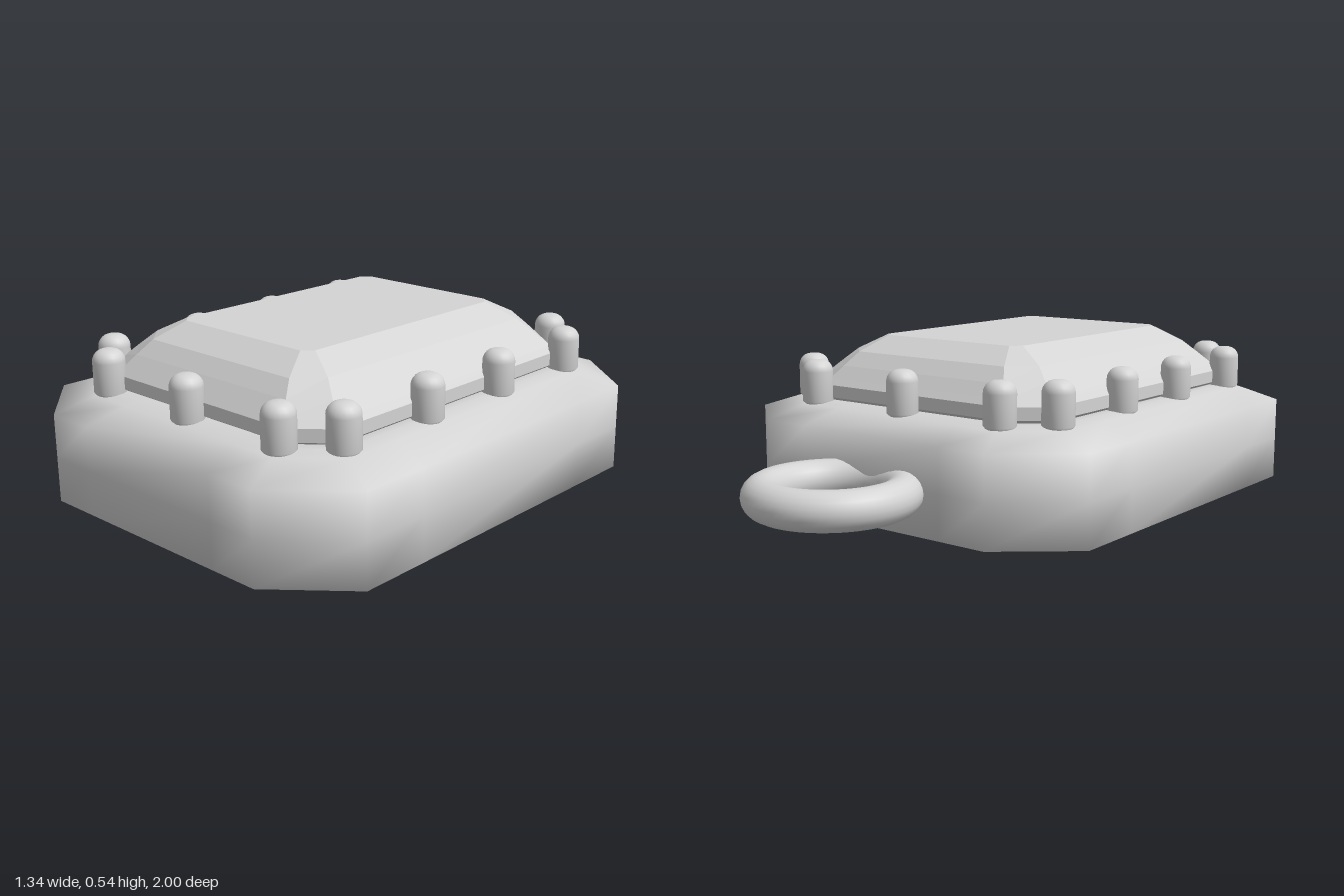
import * as THREE from 'three';

const CZ = 0.21; // centre of the stone and its setting along z

// Octagon with half sizes hx, hz and cut corners cx, cz, listed from +x towards +z.
// With extra = true, each straight side gets two more points near its corners.
function octagon(hx, hz, cx, cz, extra) {
  const ax = hx - cx, az = hz - cz;
  const k = 0.62;
  const corners = [
    [hx, -az], [hx, az], [ax, hz], [-ax, hz],
    [-hx, az], [-hx, -az], [-ax, -hz], [ax, -hz],
  ];
  if (!extra) return corners;
  const pts = [];
  corners.forEach((p, i) => {
    const q = corners[(i + 1) % 8];
    pts.push(p);
    if (i % 2 === 0) {
      const mx = (p[0] + q[0]) / 2, mz = (p[1] + q[1]) / 2;
      for (const e of [p, q]) pts.push([mx + (e[0] - mx) * k, mz + (e[1] - mz) * k]);
    }
  });
  return pts;
}

// Skin a list of { y, pts } rings; closed joins the last ring to the first.
function loft(rings, closed) {
  const n = rings[0].pts.length, pos = [], idx = [];
  for (const r of rings) for (const [x, z] of r.pts) pos.push(x, r.y, z + CZ);
  const spans = closed ? rings.length : rings.length - 1;
  for (let i = 0; i < spans; i++) {
    const lo = i * n, hi = ((i + 1) % rings.length) * n;
    for (let j = 0; j < n; j++) {
      const k = (j + 1) % n;
      idx.push(lo + j, hi + j, lo + k, lo + k, hi + j, hi + k);
    }
  }
  const g = new THREE.BufferGeometry();
  g.setAttribute('position', new THREE.Float32BufferAttribute(pos, 3));
  g.setIndex(idx);
  return g;
}

export function createModel() {
  const model = new THREE.Group();
  model.name = 'pendant';
  const grey = new THREE.MeshStandardMaterial({ color: 0xd4d4d4 });
  grey.name = 'light grey';
  const add = (name, geometry) => {
    const mesh = new THREE.Mesh(geometry, grey);
    mesh.name = name;
    model.add(mesh);
    return mesh;
  };

  // Hollow setting: cross-section as [inset, y], up the outside and down the inside
  const section = [
    [0, 0], [0, 0.14], [0, 0.28], [0.12, 0.322], [0.165, 0.33], [0.2, 0.33],
    [0.235, 0.32], [0.235, 0.3], [0.21, 0.272], [0.17, 0.258], [0.135, 0.25],
    [0.115, 0.2], [0.105, 0.06], [0.09, 0],
  ];
  const setting = loft(section.map(([t, y]) => ({
    y, pts: octagon(0.67 - t, 0.79 - t, 0.23 - 0.62 * t, 0.19 - 0.51 * t, true),
  })), true);
  setting.computeVertexNormals();
  add('setting', setting);

  // Faceted stone: pavilion point, girdle, crown and table as [y, hx, hz, cx, cz]
  const levels = [
    [0.04, 0.001, 0.001, 0.0003, 0.0003],
    [0.18, 0.265, 0.335, 0.06, 0.05],
    [0.34, 0.485, 0.605, 0.115, 0.095],
    [0.38, 0.485, 0.605, 0.115, 0.095],
    [0.4, 0.468, 0.588, 0.11, 0.09],
    [0.44, 0.425, 0.555, 0.095, 0.085],
    [0.485, 0.375, 0.512, 0.075, 0.075],
    [0.535, 0.28, 0.42, 0.03, 0.03],
    [0.535, 0.001, 0.001, 0.0003, 0.0003],
  ];
  const stone = loft(levels.map(([y, ...o]) => ({ y, pts: octagon(...o, false) })), false).toNonIndexed();
  stone.computeVertexNormals();
  add('stone', stone);

  // Round-headed prongs around the stone
  const prongShape = new THREE.LatheGeometry([
    new THREE.Vector2(0, 0.31), new THREE.Vector2(0.034, 0.313), new THREE.Vector2(0.05, 0.33),
    ...Array.from({ length: 7 }, (_, i) => {
      const a = (i / 6) * Math.PI / 2;
      return new THREE.Vector2(0.012 + 0.038 * Math.cos(a), 0.427 + 0.038 * Math.sin(a));
    }),
    new THREE.Vector2(0, 0.466),
  ], 20);
  const spots = [[0, -0.425], [0, 0.84]];
  for (const s of [-1, 1]) {
    for (const z of [-0.31, 0.04, 0.375, 0.72]) spots.push([s * 0.505, z]);
    for (const z of [-0.42, 0.835]) spots.push([s * 0.375, z]);
  }
  for (const [x, z] of spots) add('prong', prongShape).position.set(x, 0, z);

  // Hanging loop at the back, its inner side buried in the setting wall
  const loop = add('hangingLoop', new THREE.TorusGeometry(0.207, 0.06, 20, 56));
  loop.rotation.x = Math.PI / 2;
  loop.position.set(0, 0.132, -0.733);

  return model;
}
